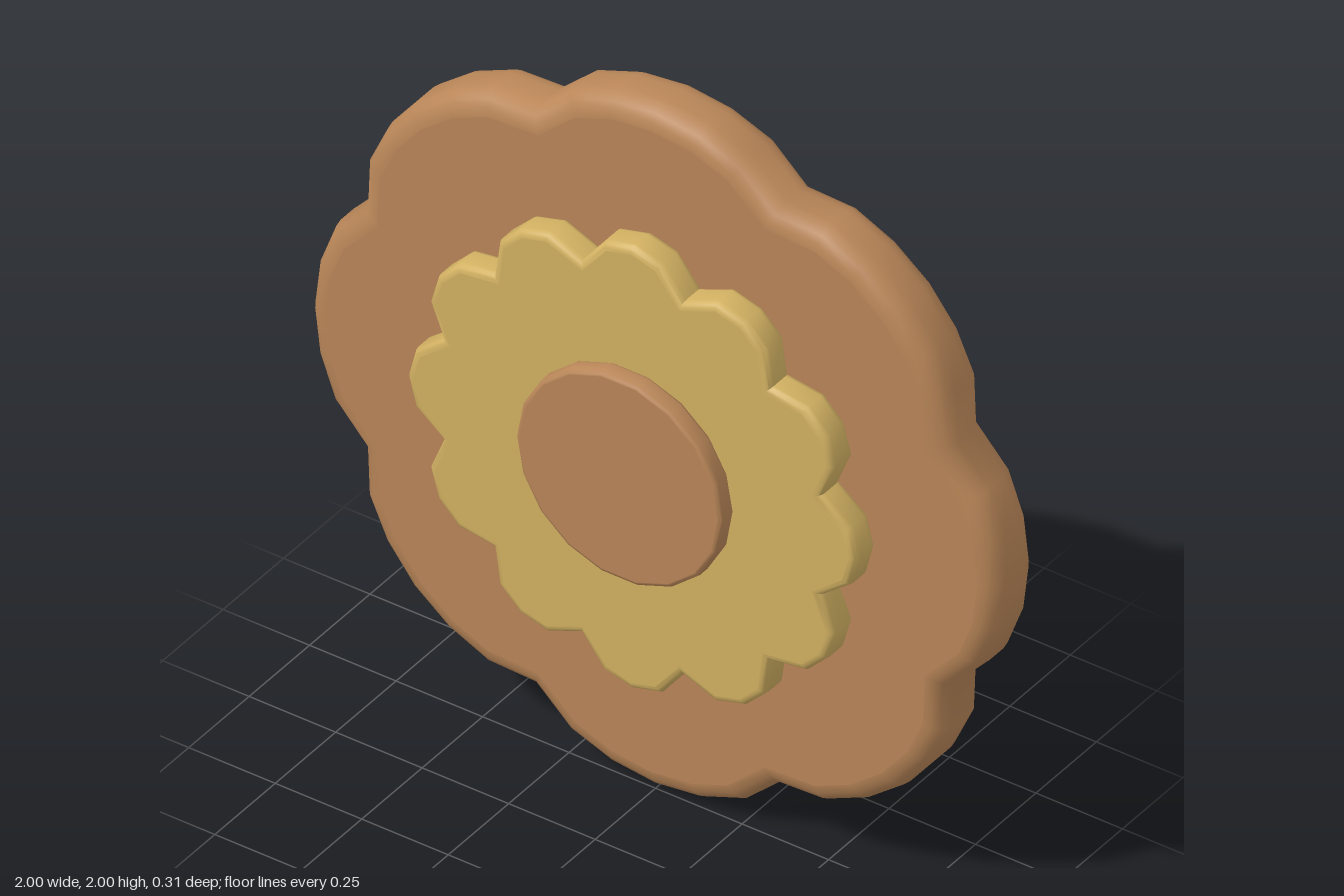
import * as THREE from 'three';
import { toCreasedNormals } from 'three/addons/utils/BufferGeometryUtils.js';

const brown = new THREE.MeshStandardMaterial({ color: 0xb98658 });
const gold = new THREE.MeshStandardMaterial({ color: 0xd2b162 });

// Scalloped outline: radii run from a lobe's peak to the notch, mirrored round each lobe.
function scallop(lobes, radii) {
  const half = radii.length - 1;
  const count = lobes * half * 2;
  const points = [];
  for (let i = 0; i < count; i++) {
    const k = i % (half * 2);
    const r = radii[k <= half ? k : half * 2 - k];
    const a = (i / count) * Math.PI * 2;
    points.push(new THREE.Vector2(r * Math.cos(a), r * Math.sin(a)));
  }
  return new THREE.Shape(points);
}

// Slab between two depths with rounded rims and flat faces.
function slab(name, shape, back, front, bevel, material) {
  let geometry = new THREE.ExtrudeGeometry(shape, {
    depth: front - back - 2 * bevel,
    bevelThickness: bevel, bevelSize: bevel, bevelOffset: -bevel, bevelSegments: 4,
  });
  geometry.translate(0, 0, back + bevel);
  geometry = toCreasedNormals(geometry, 0.85);

  // Keep the front and back faces shaded flat.
  const pos = geometry.attributes.position;
  const normal = geometry.attributes.normal;
  for (let i = 0; i < pos.count; i += 3) {
    for (const [z, dir] of [[front, 1], [back, -1]]) {
      if ([0, 1, 2].every((j) => Math.abs(pos.getZ(i + j) - z) < 1e-4)) {
        for (let j = 0; j < 3; j++) normal.setXYZ(i + j, 0, 0, dir);
      }
    }
  }
  const mesh = new THREE.Mesh(geometry, material);
  mesh.name = name;
  mesh.position.y = 1;
  return mesh;
}

export function createModel() {
  const group = new THREE.Group();
  group.name = 'flowerMedallion';
  group.add(
    // Large eight-lobed back plate
    slab('backPlate', scallop(8, [1, 0.993, 0.972, 0.917]), -0.154, 0.018, 0.058, brown),
    // Twelve-petalled middle flower
    slab('petalRing', scallop(12, [0.65, 0.634, 0.566]), 0.016, 0.103, 0.02, gold),
    // Round centre with eighteen sides
    slab('centreDisc', scallop(9, [0.298, 0.298]), 0.1, 0.154, 0.012, brown),
  );
  return group;
}
